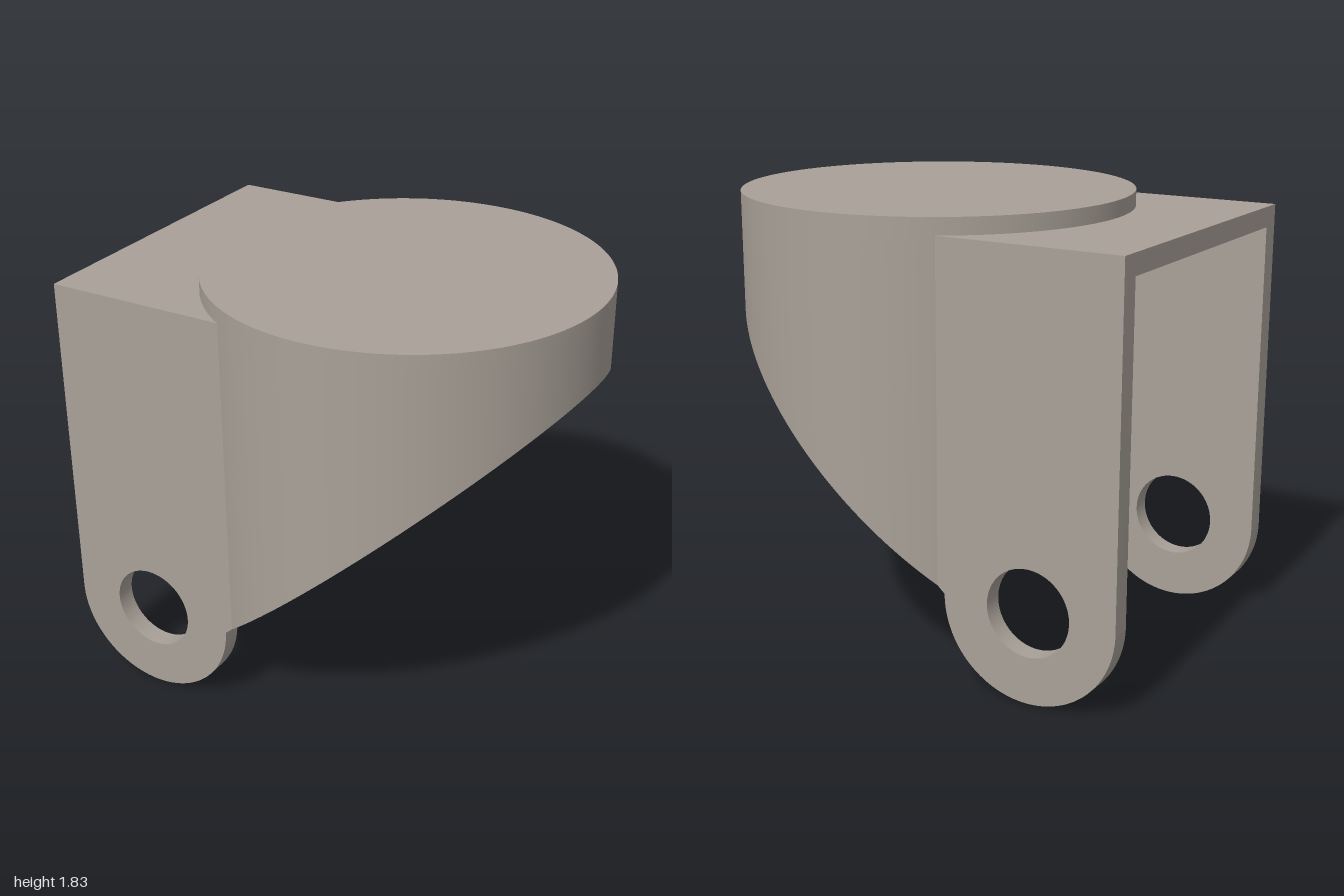
import * as THREE from 'three';
import { toCreasedNormals } from 'three/addons/utils/BufferGeometryUtils.js';

const CX = 0.194, RO = 0.806, RI = 0.72;          // drum axis and radii
const TOP = 1.826, CEILING = 1.742;               // drum cap
const ROOF = 1.758, ROOF_T = 0.084;               // roof plate
const ZI = 0.6, ZO = 0.684;                       // inner and outer faces of the lugs
const EYE_X = -0.632, EYE_R = 0.368, HOLE_R = 0.177;
const SEGMENTS = 160, WALL_STEPS = 55;            // drum facets, and wall facets each side of the front
const slantY = (x) => EYE_R + (x + 0.264) * 0.9;  // slanted lower cut

const material = new THREE.MeshStandardMaterial({ color: 0xa9a198 });

function addPart(group, name, geometry) {
  const mesh = new THREE.Mesh(toCreasedNormals(geometry, 0.5), material);
  mesh.name = name;
  group.add(mesh);
  return mesh;
}

// Angle at which the drum's inside meets the inner face of a lug
const INNER_END = Math.PI - Math.asin(ZI / RI);

// Curved wall: a rectangular section swept round the drum, cut by the slant.
// Its outer facets line up with the cap; its ends are buried in the lugs.
function wallGeometry() {
  const n = WALL_STEPS * 2, pos = [], index = [];
  const outerEnd = (WALL_STEPS / SEGMENTS) * Math.PI * 2;
  for (let i = 0; i <= n; i++) {
    const t = (i / n) * 2 - 1;
    const point = (r, a, y) => {
      const x = CX + r * Math.cos(a);
      pos.push(x, y ?? slantY(x), r * Math.sin(a));
    };
    point(RO, t * outerEnd);
    point(RO, t * outerEnd, CEILING);
    point(RI, t * INNER_END, CEILING);
    point(RI, t * INNER_END);
  }
  for (let i = 0; i < n; i++) {
    for (let k = 0; k < 4; k++) {
      const a = i * 4 + k, b = i * 4 + ((k + 1) % 4);
      index.push(a, b, b + 4, a, b + 4, a + 4);
    }
  }
  const g = new THREE.BufferGeometry();
  g.setAttribute('position', new THREE.Float32BufferAttribute(pos, 3));
  g.setIndex(index);
  return g;
}

// Side plate with rounded, drilled lower end
function lugGeometry() {
  const endX = CX + RI * Math.cos(INNER_END);
  const s = new THREE.Shape();
  s.moveTo(-1, ROOF);
  s.lineTo(-1, EYE_R);
  s.absarc(EYE_X, EYE_R, EYE_R, Math.PI, Math.PI * 2, false);
  s.lineTo(endX, slantY(endX));
  s.lineTo(endX, ROOF);
  s.closePath();
  const hole = new THREE.Path();
  hole.absarc(EYE_X, EYE_R, HOLE_R, 0, Math.PI * 2, true);
  s.holes.push(hole);
  return new THREE.ExtrudeGeometry(s, { depth: ZO - ZI, bevelEnabled: false, curveSegments: 48 });
}

// Roof between the lugs, with a concave end following the drum's inside
function roofGeometry() {
  const s = new THREE.Shape();
  s.moveTo(-1, ZI);
  s.lineTo(-1, -ZI);
  s.absarc(CX, 0, RI, -INNER_END, INNER_END - Math.PI * 2, true);
  s.closePath();
  const g = new THREE.ExtrudeGeometry(s, { depth: ROOF_T, bevelEnabled: false, curveSegments: 48 });
  return g.rotateX(Math.PI / 2);
}

export function createModel() {
  const group = new THREE.Group();
  group.name = 'drumBracket';

  addPart(group, 'drumWall', wallGeometry());

  const cap = addPart(group, 'drumCap', new THREE.CylinderGeometry(RO, RO, TOP - CEILING, SEGMENTS));
  cap.position.set(CX, (TOP + CEILING) / 2, 0);

  addPart(group, 'roofPlate', roofGeometry()).position.y = ROOF;

  addPart(group, 'leftLug', lugGeometry()).position.z = ZI;
  addPart(group, 'rightLug', lugGeometry()).position.z = -ZO;

  return group;
}
